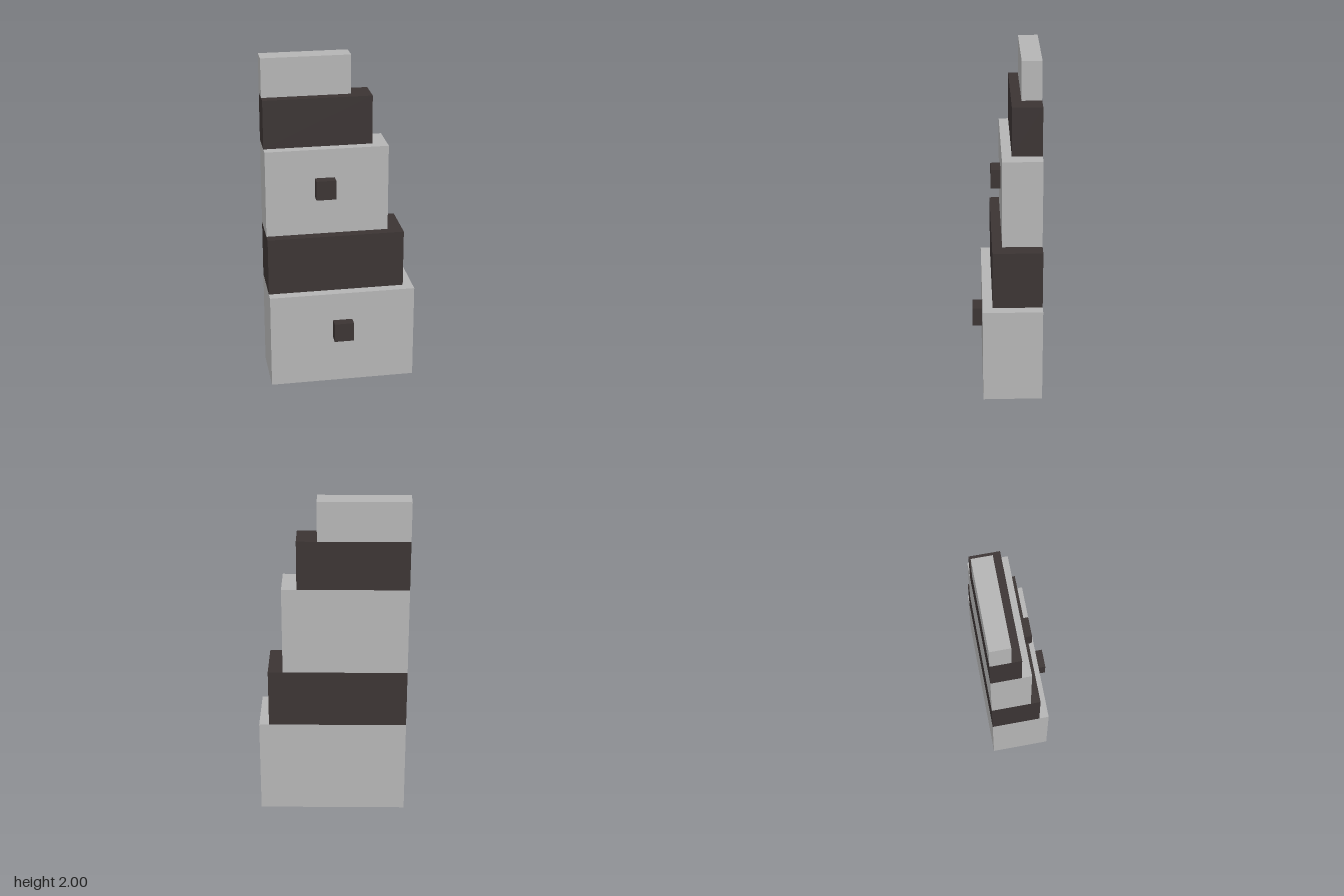
import * as THREE from 'three';

export function createModel() {
  const model = new THREE.Group();
  model.name = 'steppedTower';
  const grey = new THREE.MeshStandardMaterial({ color: 0xb4b4b4 });
  grey.name = 'light grey';
  const dark = new THREE.MeshStandardMaterial({ color: 0x3b3433 });
  dark.name = 'dark brown';

  // Box given by its lower and upper corners
  function block(name, material, [x0, y0, z0], [x1, y1, z1]) {
    const mesh = new THREE.Mesh(new THREE.BoxGeometry(x1 - x0, y1 - y0, z1 - z0), material);
    mesh.position.set((x0 + x1) / 2, (y0 + y1) / 2, (z0 + z1) / 2);
    mesh.name = name;
    model.add(mesh);
  }

  // Stacked tiers sharing a flush side and back: [name, material, top, side, front]
  const side = -0.441, back = -0.206;
  const tiers = [
    ['baseTier', grey, 0.588, 0.441, 0.147],
    ['lowerBand', dark, 0.941, 0.382, 0.088],
    ['middleTier', grey, 1.471, 0.294, 0.029],
    ['upperBand', dark, 1.765, 0.206, -0.029],
    ['topTier', grey, 2, 0.088, -0.088],
  ];
  let bottom = 0;
  for (const [name, material, top, x, z] of tiers) {
    block(name, material, [side, bottom, back], [x, top, z]);
    bottom = top;
  }

  // Square knobs on the front of the base and middle tiers
  block('lowerKnob', dark, [-0.059, 0.294, 0.147], [0.059, 0.412, 0.206]);
  block('upperKnob', dark, [-0.147, 1.176, 0.029], [-0.029, 1.294, 0.088]);

  return model;
}
